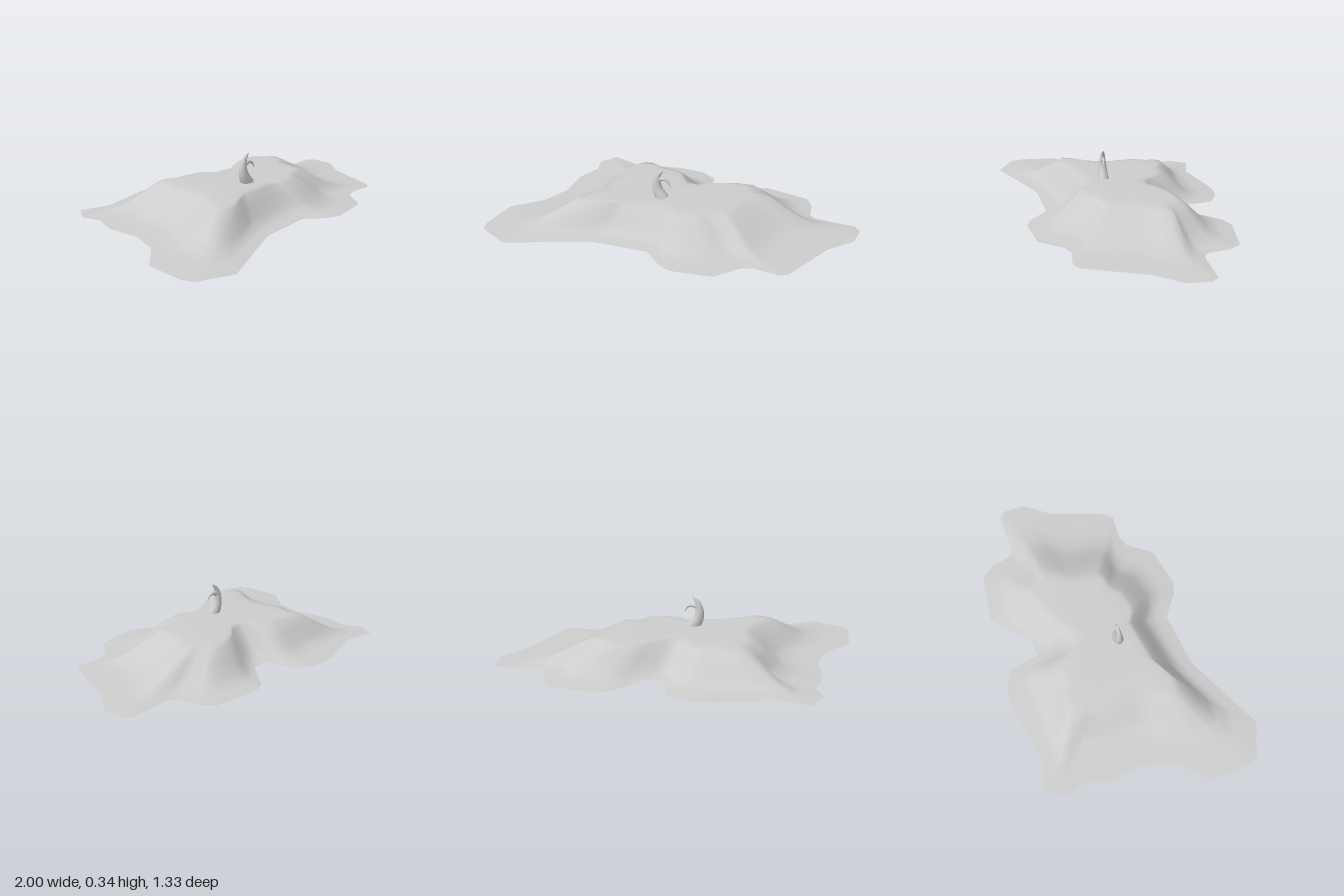
import * as THREE from 'three';

const grey = new THREE.MeshStandardMaterial({ color: 0xcccccc, side: THREE.DoubleSide });
grey.name = 'plain grey';

// Skin a list of closed rings, each an array of Vector3, into one smooth surface.
function loft(name, rings) {
  const n = rings[0].length;
  const index = [];
  for (let s = 0; s < rings.length - 1; s++) {
    for (let j = 0; j < n; j++) {
      const k = (j + 1) % n;
      const a = s * n + j, b = s * n + k, c = a + n, d = b + n;
      index.push(a, c, b, b, c, d);
    }
  }
  const geometry = new THREE.BufferGeometry().setFromPoints(rings.flat());
  geometry.setIndex(index);
  geometry.computeVertexNormals();
  const mesh = new THREE.Mesh(geometry, grey);
  mesh.name = name;
  return mesh;
}

// Plan outlines (x, z), clockwise from the back right-hand corner:
// the rim on the ground, the foot of the slope and the edge of the plateau.
const rim = [
  [-0.84, -0.51], [-0.78, -0.62], [-0.6, -0.58], [-0.31, -0.66], [-0.23, -0.67], [-0.14, -0.665],
  [-0.03, -0.61], [0.005, -0.435], [0.11, -0.44], [0.26, -0.61], [0.33, -0.64], [0.6, -0.61],
  [0.655, -0.535], [0.68, -0.42], [0.72, -0.39], [0.96, -0.4], [1, -0.365], [1, -0.235],
  [0.89, -0.08], [0.78, 0.25], [0.74, 0.285], [0.59, 0.28], [0.53, 0.31], [0.43, 0.45],
  [0.2, 0.5], [0.13, 0.48], [0, 0.385], [-0.31, 0.425], [-0.37, 0.45], [-0.78, 0.66],
  [-0.97, 0.585], [-1, 0.52], [-1, 0.29], [-0.86, 0.13], [-0.81, -0.05], [-0.84, -0.25], [-0.8, -0.4],
];
const foot = [
  [-0.66, -0.44], [-0.62, -0.48], [-0.52, -0.49], [-0.32, -0.48], [-0.2, -0.5], [-0.12, -0.5],
  [-0.07, -0.47], [0, -0.36], [0.08, -0.37], [0.22, -0.48], [0.32, -0.51], [0.48, -0.5],
  [0.54, -0.45], [0.58, -0.37], [0.64, -0.34], [0.73, -0.32], [0.75, -0.28], [0.72, -0.19],
  [0.62, -0.07], [0.58, 0.17], [0.53, 0.2], [0.43, 0.19], [0.39, 0.22], [0.32, 0.31],
  [0.16, 0.35], [0.1, 0.33], [0, 0.27], [-0.29, 0.32], [-0.36, 0.34], [-0.62, 0.47],
  [-0.72, 0.43], [-0.74, 0.38], [-0.74, 0.26], [-0.65, 0.1], [-0.6, -0.04], [-0.64, -0.22], [-0.57, -0.33],
];
const crest = [
  [-0.43, -0.33], [-0.41, -0.36], [-0.36, -0.37], [-0.28, -0.34], [-0.2, -0.34], [-0.14, -0.33],
  [-0.09, -0.28], [-0.04, -0.22], [0.04, -0.22], [0.12, -0.29], [0.22, -0.34], [0.33, -0.36],
  [0.37, -0.34], [0.4, -0.3], [0.43, -0.28], [0.46, -0.27], [0.46, -0.24], [0.45, -0.19],
  [0.39, -0.12], [0.36, 0.05], [0.34, 0.08], [0.26, 0.1], [0.23, 0.12], [0.2, 0.16],
  [0.09, 0.19], [0.05, 0.19], [-0.02, 0.15], [-0.24, 0.19], [-0.3, 0.21], [-0.45, 0.29],
  [-0.52, 0.27], [-0.54, 0.25], [-0.53, 0.2], [-0.46, 0.1], [-0.43, -0.02], [-0.46, -0.19], [-0.43, -0.27],
];

// A ring part of the way from one outline to another, at a given height.
const between = (from, to, t, y) => from.map(([x, z], i) => new THREE.Vector3(
  x + (to[i][0] - x) * t, y, z + (to[i][1] - z) * t));

function buildMound() {
  const middle = crest.map(() => [-0.05, -0.03]);
  return loft('mound', [
    between(rim, foot, 0, 0),
    between(rim, foot, 0.6, 0.007),
    between(foot, crest, 0, 0.018),
    between(foot, crest, 0.3, 0.052),
    between(foot, crest, 0.62, 0.098),
    between(foot, crest, 1, 0.15),
    between(crest, middle, 0.14, 0.16),
    between(crest, middle, 0.5, 0.16),
    between(crest, middle, 1, 0.16),
  ]);
}

// A curved horn tapering to a point: path in x, y with half widths across x and z.
function buildHorn(name, path, widths, z) {
  const curve = new THREE.CatmullRomCurve3(path.map(([x, y]) => new THREE.Vector3(x, y, z)));
  const steps = 16, sides = 12, rings = [];
  for (let s = 0; s <= steps; s++) {
    const t = s / steps;
    const p = curve.getPoint(t), d = curve.getTangent(t);
    const taper = Math.pow(1 - t, 0.75);
    rings.push(Array.from({ length: sides }, (_, j) => {
      const a = (j / sides) * Math.PI * 2;
      const u = Math.cos(a) * widths[0] * taper, w = Math.sin(a) * widths[1] * taper;
      return new THREE.Vector3(p.x + d.y * u, p.y - d.x * u, p.z + w);
    }));
  }
  return loft(name, rings);
}

export function createModel() {
  const model = new THREE.Group();
  model.name = 'mound with horn';
  model.add(buildMound());

  // Main horn, and the small hook that branches off it.
  const horn = new THREE.Group();
  horn.name = 'horn';
  horn.add(
    buildHorn('mainHorn', [[-0.078, 0.15], [-0.108, 0.2], [-0.116, 0.25], [-0.103, 0.3], [-0.07, 0.335]], [0.04, 0.034], 0.038),
    buildHorn('hook', [[-0.115, 0.262], [-0.085, 0.277], [-0.05, 0.272], [-0.025, 0.235]], [0.016, 0.015], 0.038),
  );
  model.add(horn);
  return model;
}
